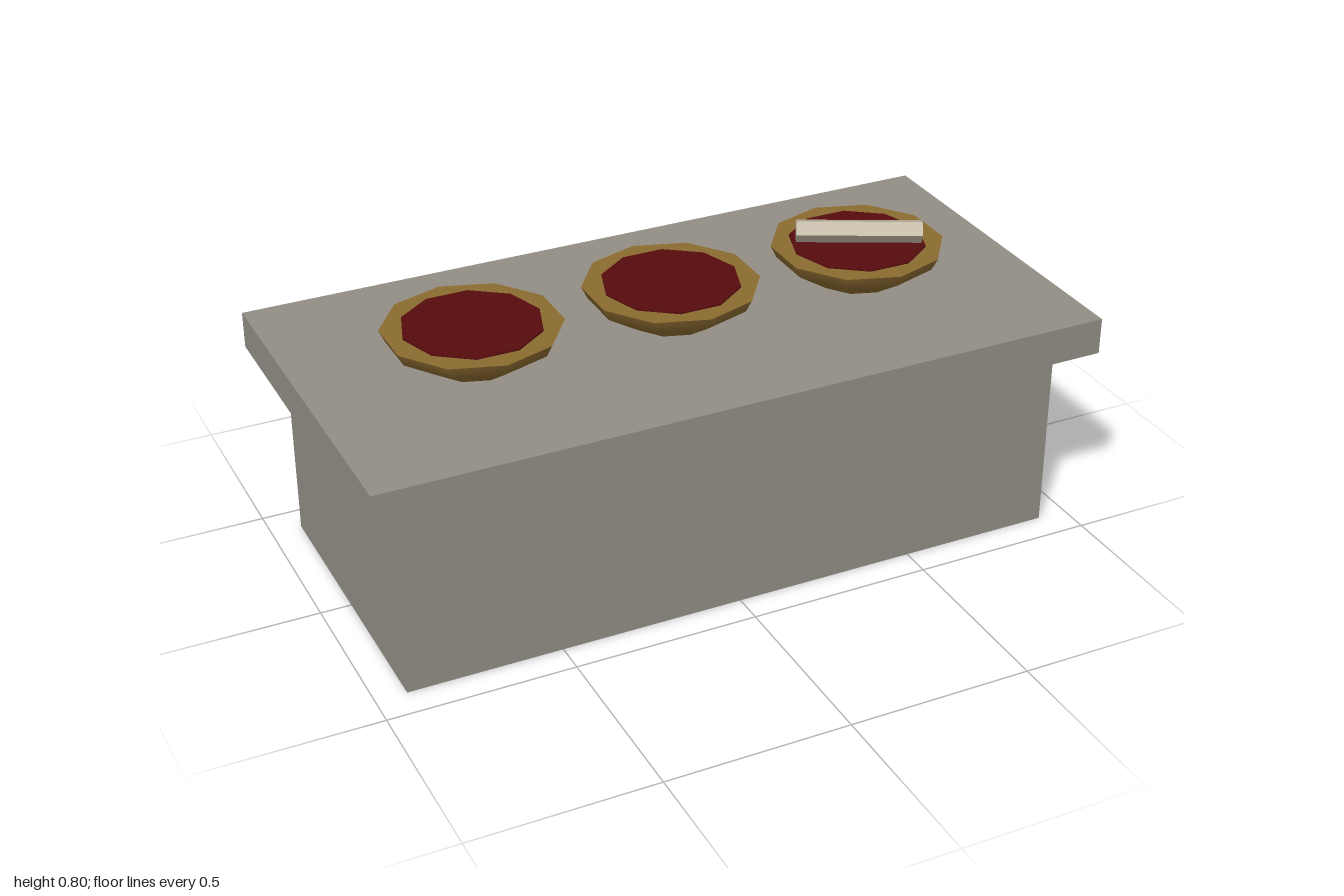
import * as THREE from 'three';

function material(name, color) {
  const m = new THREE.MeshStandardMaterial({ color });
  m.name = name;
  return m;
}

function part(parent, name, geometry, mat, x = 0, y = 0, z = 0) {
  const mesh = new THREE.Mesh(geometry, mat);
  mesh.name = name;
  mesh.position.set(x, y, z);
  parent.add(mesh);
  return mesh;
}

export function createModel() {
  const stone = material('stone', 0x928e85);
  const bronze = material('bronze', 0x8b6a30);
  const darkRed = material('dark red', 0x560c0e);
  const bone = material('bone', 0xbab09b);

  const group = new THREE.Group();
  group.name = 'altarTable';

  // Stone block with an overhanging slab
  part(group, 'pedestal', new THREE.BoxGeometry(1.834, 0.535, 0.834), stone, 0, 0.2675, 0);
  part(group, 'slab', new THREE.BoxGeometry(2, 0.1, 1), stone, 0, 0.585, 0);

  // Ten-sided bowls: smooth flared wall, flat rim, thin disc of liquid
  const sides = 10;
  const profile = [[0.115, 0], [0.217, 0.067], [0.233, 0.1]]
    .map(([r, y]) => new THREE.Vector2(r, y));
  const wall = new THREE.LatheGeometry(profile, sides);
  const rim = new THREE.CircleGeometry(0.233, sides, Math.PI / 2).rotateX(-Math.PI / 2);
  const liquid = new THREE.CylinderGeometry(0.183, 0.183, 0.005, sides, 1, false, Math.PI / 2);

  for (const x of [-0.55, 0, 0.55]) {
    const bowl = new THREE.Group();
    bowl.name = 'bowl';
    bowl.position.set(x, 0.635, 0);
    part(bowl, 'bowlWall', wall, bronze);
    part(bowl, 'bowlRim', rim, bronze, 0, 0.1, 0);
    part(bowl, 'liquid', liquid, darkRed, 0, 0.102, 0);
    group.add(bowl);
  }

  // Five-sided stick lying across the bowl on the left
  const stickGeometry = new THREE.CylinderGeometry(0.032, 0.032, 0.334, 5)
    .rotateZ(Math.PI / 2)
    .toNonIndexed();
  stickGeometry.computeVertexNormals();
  part(group, 'stick', stickGeometry, bone, 0.55, 0.77, 0.008).rotation.y = -0.46;

  return group;
}
